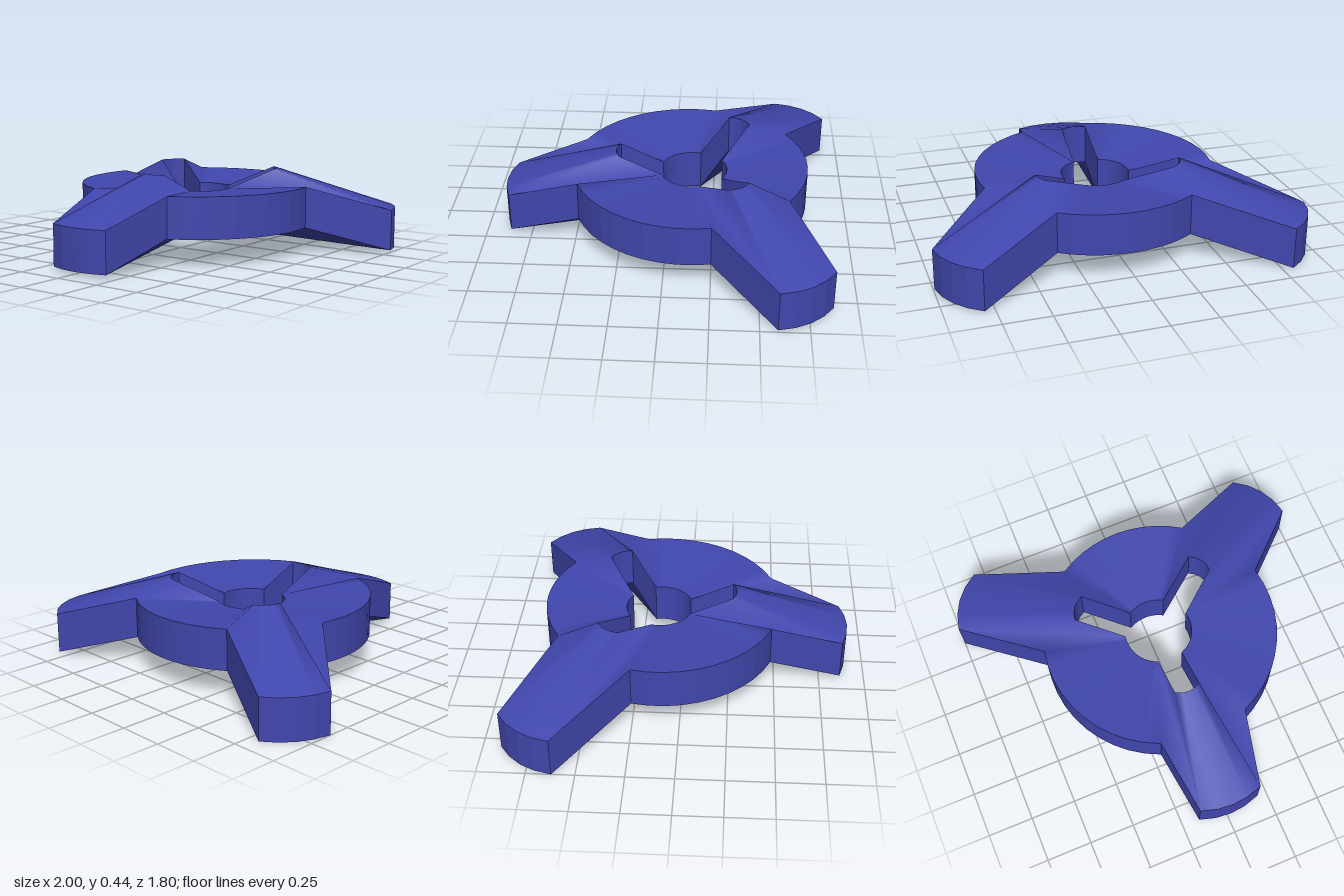
import * as THREE from 'three';
import { mergeVertices } from 'three/addons/utils/BufferGeometryUtils.js';

// Hub centre in plan (x, z)
const CX = 0.02, CZ = -0.125;
// Steps along each arm tip and each rim arc
const TIP = 4, RIM = 10;
// The body is a bent plate of nearly even thickness
const THICK = 0.222;

// Plan points [x, z] of each arm, listed counterclockwise seen from above:
// tip corners, roots on the rim, slot-end corners, slot mouths at the hub hole
const arms = [
  { tip: [[-0.155, 0.865], [0.195, 0.865]], root: [[-0.22, 0.475], [0.27, 0.475]],
    end: [[-0.05, 0.265], [0.09, 0.265]], mouth: [[-0.05, 0.03], [0.09, 0.03]],
    top: 0.242, bulge: 0.035 },
  { tip: [[0.997, -0.59], [0.805, -0.875]], root: [[0.655, -0.25], [0.38, -0.652]],
    end: [[0.405, -0.325], [0.33, -0.44]], mouth: [[0.2, -0.175], [0.115, -0.295]],
    top: 0.235, bulge: 0.04 },
  { tip: [[-0.81, -0.905], [-1.0, -0.62]], root: [[-0.335, -0.655], [-0.607, -0.25]],
    end: [[-0.31, -0.445], [-0.39, -0.33]], mouth: [[-0.085, -0.295], [-0.16, -0.175]],
    top: 0.225, bulge: 0.04 },
];

// Point on a shallow arc from a to b, bowed outwards by bulge
function bowed(a, b, t, bulge) {
  const dx = b[0] - a[0], dz = b[1] - a[1];
  const s = 4 * t * (1 - t) * bulge / Math.hypot(dx, dz);
  return [a[0] + dx * t - dz * s, a[1] + dz * t + dx * s];
}

// Point on the arc around the hub centre from a to b
function around(a, b, t) {
  const angle = p => Math.atan2(p[0] - CX, p[1] - CZ);
  const radius = p => Math.hypot(p[0] - CX, p[1] - CZ);
  const a0 = angle(a);
  let span = angle(b) - a0;
  while (span < 0) span += Math.PI * 2;
  const r = radius(a) + (radius(b) - radius(a)) * t;
  return [CX + r * Math.sin(a0 + span * t), CZ + r * Math.cos(a0 + span * t)];
}

// Matching stations: outer and inner edge, each at top and bottom.
// innerDiagonal tells which way the quad up to the next station is folded.
function buildStations() {
  const stations = [];
  const add = (o, oTop, i, iTop, innerDiagonal) => stations.push({
    ot: [o[0], oTop, o[1]], ob: [o[0], oTop - THICK, o[1]],
    it: [i[0], iTop, i[1]], ib: [i[0], iTop - THICK, i[1]], innerDiagonal });
  arms.forEach((arm, k) => {
    const next = arms[(k + 1) % arms.length];
    const backSector = k === 1;
    // Arm tip against the raised end of the slot
    for (let j = 0; j <= TIP; j++) {
      const t = j / TIP;
      add(bowed(...arm.tip, t, arm.bulge), arm.top,
        bowed(...arm.end, t, 0.02), 0.445, backSector && j === TIP);
    }
    // Disc rim against the hub hole
    for (let j = 0; j <= RIM; j++) {
      const t = j / RIM;
      add(around(arm.root[1], next.root[0], t), 0.372,
        around(arm.mouth[1], next.mouth[0], t), 0.335, !backSector && j === RIM);
    }
  });
  return stations;
}

function quad(list, a, b, c, d) {
  list.push(...a, ...b, ...c, ...a, ...c, ...d);
}

function surface(positions) {
  const geometry = new THREE.BufferGeometry();
  geometry.setAttribute('position', new THREE.Float32BufferAttribute(positions, 3));
  return geometry;
}

export function createModel() {
  const stations = buildStations();
  const faces = [], walls = [];

  stations.forEach((s, k) => {
    const n = stations[(k + 1) % stations.length];
    // Top and underside
    if (s.innerDiagonal) {
      quad(faces, s.it, s.ot, n.ot, n.it);
      quad(faces, s.ib, n.ib, n.ob, s.ob);
    } else {
      quad(faces, s.ot, n.ot, n.it, s.it);
      quad(faces, n.ib, n.ob, s.ob, s.ib);
    }
    // Outer wall, then wall of the hub hole and slots
    quad(walls, s.ob, n.ob, n.ot, s.ot);
    quad(walls, s.it, n.it, n.ib, s.ib);
  });

  const material = new THREE.MeshStandardMaterial({ color: 0x4147ae });
  const group = new THREE.Group();
  group.name = 'threeArmedDisc';
  const add = (name, geometry) => {
    geometry.computeVertexNormals();
    const mesh = new THREE.Mesh(geometry, material);
    mesh.name = name;
    group.add(mesh);
  };
  // Shared vertices shade smoothly, separate ones stay faceted
  add('topAndUnderside', mergeVertices(surface(faces)));
  add('edgeWalls', surface(walls));
  return group;
}
